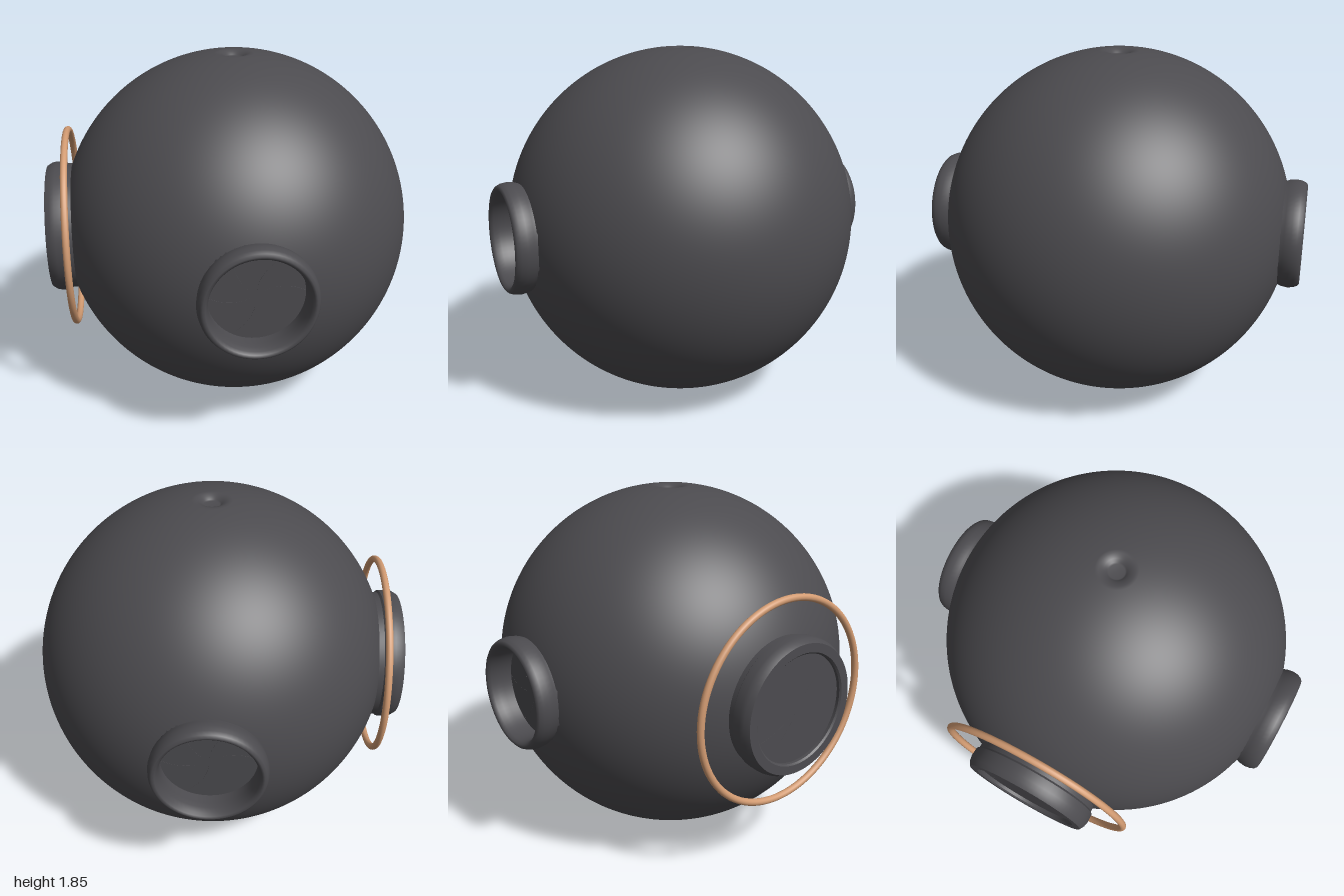
import * as THREE from 'three';
import { toCreasedNormals } from 'three/addons/utils/BufferGeometryUtils.js';

const R = 0.93;
const shell = new THREE.MeshStandardMaterial({ color: 0x4c4b4f });
shell.name = 'dark grey';
const copper = new THREE.MeshStandardMaterial({ color: 0xd29b72 });
copper.name = 'copper';

const vec = (list) => list.map(([x, y]) => new THREE.Vector2(x, y));

function add(parent, name, geometry, material = shell) {
  const mesh = new THREE.Mesh(geometry, material);
  mesh.name = name;
  parent.add(mesh);
  return mesh;
}

// Sphere with a small pit at each pole and a flat-bottomed well under both iris collars
function bodyGeometry() {
  const pit = [[0, 0.9], [0.038, 0.9], [0.046, 0.905], [0.06, 0.918]];
  const start = Math.asin(0.085 / R);
  const points = pit.map(([r, y]) => [r, -y]);
  const steps = 160;
  for (let i = 0; i <= steps; i++) {
    const a = start + (Math.PI - 2 * start) * i / steps;
    points.push([R * Math.sin(a), -R * Math.cos(a)]);
  }
  points.push(...pit.reverse());
  const geometry = new THREE.LatheGeometry(vec(points), 256);
  const p = geometry.attributes.position;
  for (let i = 0; i < p.count; i++) {
    const z = p.getZ(i);
    if (Math.abs(z) > 0.8 && Math.hypot(p.getX(i), p.getY(i)) < 0.262) {
      p.setZ(i, Math.sign(z) * 0.85);
    }
  }
  return geometry;
}

// Flat disc split into blades along swirling seams
function addBlades(parent, name, radius, degrees, twist, z) {
  const gap = 0.003;
  degrees.forEach((deg, k) => {
    const a = THREE.MathUtils.degToRad(deg);
    let b = THREE.MathUtils.degToRad(degrees[(k + 1) % degrees.length]);
    if (b <= a) b += Math.PI * 2;
    const points = [];
    const put = (r, angle) => points.push([r * Math.cos(angle), r * Math.sin(angle)]);
    const seam = (t, angle) => put(radius * t, angle + twist * (1 - t));
    for (let i = 1; i <= 10; i++) seam(i / 10, a + gap);
    for (let i = 1; i < 24; i++) put(radius, a + (b - a) * i / 24);
    for (let i = 10; i >= 1; i--) seam(i / 10, b - gap);
    points.push([0, 0]);
    const blade = add(parent, name, new THREE.ExtrudeGeometry(
      new THREE.Shape(vec(points)), { depth: 0.006, bevelEnabled: false }));
    blade.position.z = z;
  });
}

export function createModel() {
  const model = new THREE.Group();
  model.name = 'sphereDevice';
  const body = new THREE.Group();
  body.name = 'body';
  body.position.set(0.03, R, 0);
  model.add(body);
  add(body, 'sphereShell', bodyGeometry());

  // Front and back iris ports with rounded collars
  const collar = new THREE.LatheGeometry(vec([
    [0.272, 0.85], [0.274, 0.885], [0.282, 0.905], [0.287, 0.94], [0.283, 0.97],
    [0.274, 0.99], [0.262, 1.0], [0.25, 0.995], [0.24, 0.98], [0.234, 0.95],
    [0.233, 0.92], [0.233, 0.85],
  ]), 64);
  collar.rotateX(Math.PI / 2);
  for (const [name, turn] of [['frontPort', 0], ['backPort', Math.PI]]) {
    const port = new THREE.Group();
    port.name = name;
    port.rotation.y = turn;
    add(port, 'irisCollar', collar);
    addBlades(port, 'irisBlade', 0.24, [2, 55, 117, 179, 239], 0.6, 0.865);
    body.add(port);
  }

  // Side hatch: stepped collar, split disc and copper hoop
  const hatch = new THREE.Group();
  hatch.name = 'sideHatch';
  hatch.rotation.y = -Math.PI / 2;
  body.add(hatch);
  const rim = new THREE.LatheGeometry(vec([
    [0.335, 0.8], [0.338, 0.895], [0.348, 0.905], [0.35, 0.95], [0.345, 0.975],
    [0.33, 1.0], [0.285, 1.0], [0.277, 0.992], [0.277, 0.95],
  ]), 72);
  rim.rotateX(Math.PI / 2);
  add(hatch, 'hatchCollar', toCreasedNormals(rim, 0.6));
  const backing = add(hatch, 'hatchBacking', new THREE.CircleGeometry(0.28, 64));
  backing.position.z = 0.967;
  addBlades(hatch, 'hatchPlate', 0.279, [45, 205, 228], 0.25, 0.97);
  const hoop = add(hatch, 'copperHoop', new THREE.TorusGeometry(0.52, 0.018, 14, 96), copper);
  hoop.position.z = 0.883;

  return model;
}
